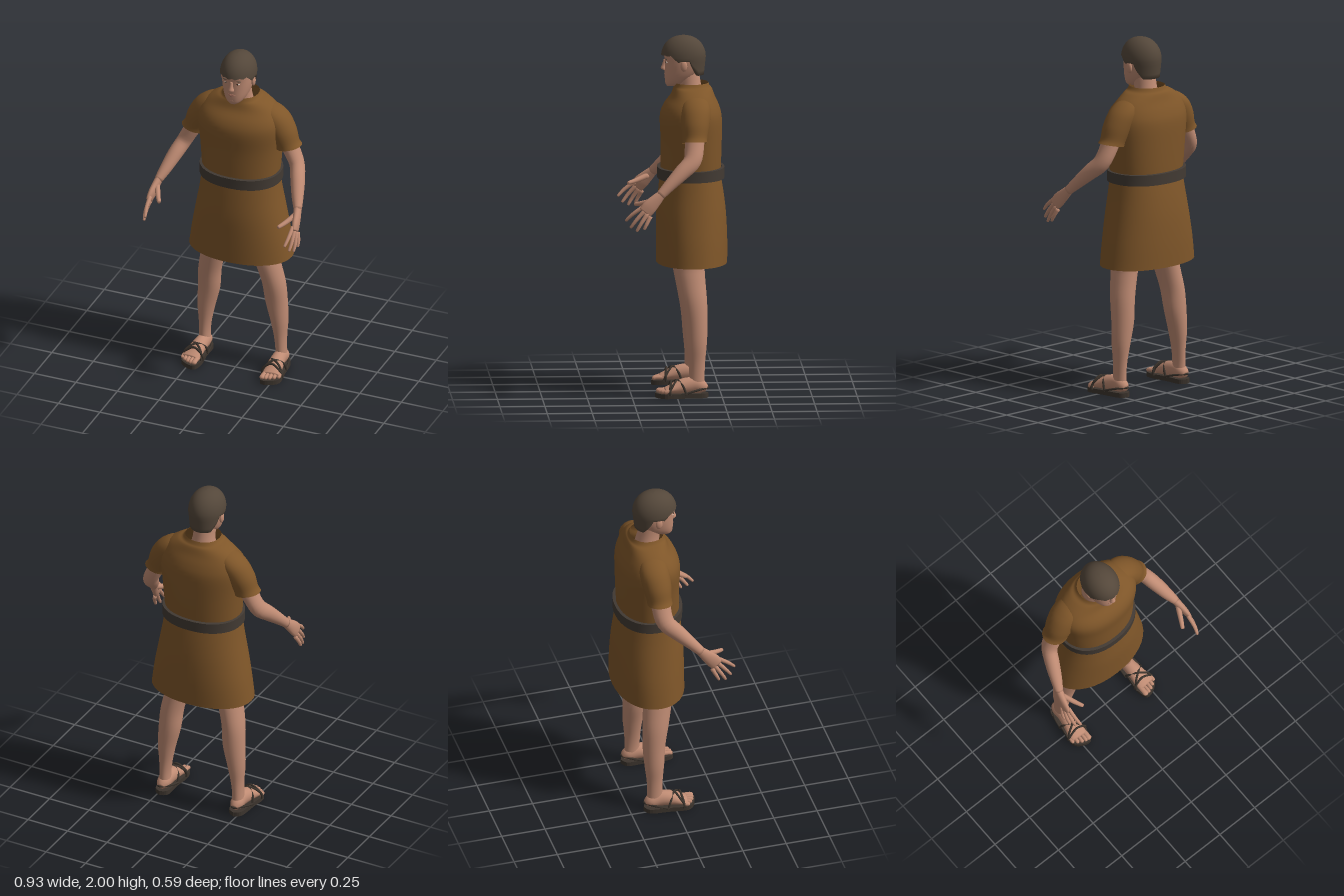
import * as THREE from 'three';

const mat = (name, color, double) => {
  const m = new THREE.MeshStandardMaterial({ color });
  m.name = name;
  if (double) m.side = THREE.DoubleSide;
  return m;
};

// Catmull-Rom subdivision of cross-sections [x, y, z, a, b]
function refine(rings, sub) {
  const out = [], at = (i) => rings[Math.min(Math.max(i, 0), rings.length - 1)];
  for (let i = 0; i < rings.length - 1; i++) {
    const [p, q, r, s] = [at(i - 1), at(i), at(i + 1), at(i + 2)];
    for (let k = 0; k < sub; k++) {
      const t = k / sub;
      out.push(q.map((v, c) => {
        const cubic = 3 * (v - r[c]) + s[c] - p[c];
        const square = 2 * p[c] - 5 * v + 4 * r[c] - s[c];
        return v + 0.5 * t * (r[c] - p[c] + t * (square + t * cubic));
      }));
    }
  }
  out.push(at(rings.length - 1));
  return out;
}

// Surface through elliptical cross-sections; a is the half width along x, b the other half width
function loft(rings, { n = 24, sub = 4, caps = true, axis = null, pow = 2 } = {}) {
  const R = refine(rings, sub), pos = [], idx = [];
  const P = R.map((r) => new THREE.Vector3(r[0], r[1], r[2]));
  const bend = (v) => Math.sign(v) * Math.abs(v) ** (2 / pow);
  R.forEach((r, i) => {
    const T = axis ? axis.clone().normalize()
      : P[Math.min(i + 1, P.length - 1)].clone().sub(P[Math.max(i - 1, 0)]).normalize();
    const U = new THREE.Vector3(1, 0, 0).addScaledVector(T, -T.x).normalize();
    const V = T.clone().cross(U);
    for (let j = 0; j < n; j++) {
      const t = (j / n) * Math.PI * 2;
      const v = P[i].clone().addScaledVector(U, bend(Math.cos(t)) * r[3]);
      v.addScaledVector(V, bend(Math.sin(t)) * r[4]);
      pos.push(v.x, v.y, v.z);
    }
  });
  for (let i = 0; i < R.length - 1; i++) for (let j = 0; j < n; j++) {
    const a = i * n + j, b = i * n + (j + 1) % n;
    idx.push(a, b, b + n, a, b + n, a + n);
  }
  if (caps) {
    const c = pos.length / 3, last = (R.length - 1) * n;
    pos.push(...P[0].toArray(), ...P[P.length - 1].toArray());
    for (let j = 0; j < n; j++) {
      const k = (j + 1) % n;
      idx.push(c, k, j, c + 1, last + j, last + k);
    }
  }
  return build(pos, idx);
}

function build(pos, idx) {
  const g = new THREE.BufferGeometry();
  g.setAttribute('position', new THREE.Float32BufferAttribute(pos, 3));
  g.setIndex(idx);
  g.computeVertexNormals();
  return g;
}

// Hair cap whose lower edge runs from the fringe, over the ears, to the nape
function hairGeometry() {
  const n = 48, dome = 9, low = 4, rows = dome + low + 2, pos = [], idx = [];
  for (let i = 0; i < rows; i++) for (let j = 0; j < n; j++) {
    const t = (j / n) * Math.PI * 2, f = Math.cos(t);
    const edge = f > 0.55 ? 1.893 + 0.004 * Math.sin(t * 15)
      : f > 0.15 ? 1.845 + (f - 0.15) * 0.11 : f > -0.3 ? 1.865 : Math.max(1.78, 1.845 + (f + 0.3) * 0.16);
    const stop = edge > 1.88 ? Math.acos((edge - 1.88) / 0.12) : Math.PI / 2;
    const phi = stop * Math.min(1, i / dome);
    const drop = Math.max(0, 1.88 - edge) * Math.min(1, Math.max(0, i - dome) / low);
    const y = 1.88 + 0.12 * Math.cos(phi) - drop;
    const r = (Math.sin(phi) ** 0.9 - 0.9 * drop) * (i === rows - 1 ? 0.85 : 1);
    pos.push(Math.sin(t) * 0.1 * r, y, -0.047 + f * 0.125 * r);
  }
  for (let i = 0; i < rows - 1; i++) for (let j = 0; j < n; j++) {
    const a = i * n + j, b = i * n + (j + 1) % n;
    idx.push(a, b + n, b, a, a + n, b + n);
  }
  return build(pos, idx);
}

export function createModel() {
  const model = new THREE.Group();
  const skin = mat('skin', 0xbf8b73), cloth = mat('brown cloth', 0x7f5629, true);
  const hair = mat('dark hair', 0x54473a, true), belt = mat('belt leather', 0x423a33, true);
  const leather = mat('sandal leather', 0x3c342d), lips = mat('lips', 0xa8705f);
  const white = mat('eye white', 0xd2c4b8), iris = mat('iris', 0x3a2a20);
  const add = (name, geo, m) => {
    const mesh = new THREE.Mesh(geo, m);
    mesh.name = name;
    model.add(mesh);
  };
  const blob = (name, m, [x, y, z], [a, b, c]) =>
    add(name, new THREE.SphereGeometry(1, 16, 10).scale(a, b, c).translate(x, y, z), m);
  const up = new THREE.Vector3(0, 1, 0);

  // Head and neck
  add('neck', loft([[0, 1.65, -0.095, 0.075, 0.07], [0, 1.73, -0.08, 0.062, 0.064], [0, 1.82, -0.06, 0.062, 0.07]], { axis: up }), skin);
  add('head', loft([
    [0, 1.716, 0.025, 0.022, 0.02], [0, 1.732, 0.005, 0.046, 0.048], [0, 1.765, -0.022, 0.067, 0.079],
    [0, 1.81, -0.04, 0.081, 0.097], [0, 1.86, -0.047, 0.088, 0.104], [0, 1.92, -0.047, 0.087, 0.109],
    [0, 1.96, -0.047, 0.068, 0.085], [0, 1.98, -0.047, 0.03, 0.04]], { n: 32, axis: up, pow: 2.25 }), skin);
  add('hair', hairGeometry(), hair);
  add('nose', loft([[0, 1.805, 0.055, 0.017, 0.01], [0, 1.815, 0.062, 0.017, 0.017],
    [0, 1.835, 0.059, 0.011, 0.013], [0, 1.865, 0.054, 0.008, 0.009]], { n: 12, axis: up }), skin);
  blob('upperLip', lips, [0, 1.782, 0.053], [0.024, 0.004, 0.007]);
  blob('lowerLip', lips, [0, 1.774, 0.051], [0.02, 0.005, 0.008]);
  blob('chin', skin, [0, 1.742, 0.04], [0.024, 0.018, 0.016]);

  // Tunic, open at the neck and hem
  add('tunicTop', loft([
    [0, 1.2, -0.085, 0.218, 0.165], [0, 1.28, -0.0875, 0.225, 0.168], [0, 1.42, -0.09, 0.237, 0.17],
    [0, 1.54, -0.088, 0.25, 0.172], [0, 1.605, -0.09, 0.24, 0.155], [0, 1.66, -0.098, 0.205, 0.123],
    [0, 1.7, -0.098, 0.15, 0.108], [0, 1.715, -0.094, 0.115, 0.1], [0, 1.735, -0.092, 0.1, 0.093]],
  { n: 40, caps: false, axis: up, pow: 2.2 }), cloth);
  add('tunicSkirt', loft([
    [0, 0.73, -0.0925, 0.303, 0.1975], [0, 0.86, -0.0925, 0.284, 0.198], [0, 1.0, -0.09, 0.258, 0.194],
    [0, 1.12, -0.088, 0.236, 0.182], [0, 1.22, -0.085, 0.222, 0.168]],
  { n: 40, caps: false, axis: up, pow: 2.15 }), cloth);
  const band = (y, d) => [0, y, -0.0875, 0.226 + d, 0.177 + d];
  add('belt', loft([band(1.205, -0.006), band(1.203, 0.01), band(1.203, 0.01), band(1.264, 0.01),
    band(1.264, 0.01), band(1.266, -0.006)], { n: 40, sub: 1, caps: false, axis: up, pow: 2.2 }), belt);

  for (const s of [1, -1]) {
    const side = s > 0 ? 'left' : 'right';
    const flip = (pts) => pts.map(([x, ...rest]) => [x * s, ...rest]);
    const limb = (name, pts, opt) => add(`${side}${name}`, loft(flip(pts), opt), skin);

    // Face details and ear
    blob(`${side}Ear`, skin, [0.091 * s, 1.838, -0.045], [0.011, 0.03, 0.019]);
    blob(`${side}Eye`, white, [0.034 * s, 1.853, 0.046], [0.013, 0.0055, 0.007]);
    blob(`${side}Iris`, iris, [0.034 * s, 1.853, 0.0505], [0.005, 0.005, 0.004]);
    blob(`${side}Eyebrow`, hair, [0.036 * s, 1.871, 0.049], [0.019, 0.0035, 0.005]);

    // Sleeve
    add(`${side}Sleeve`, loft(flip([
      [0.282, 1.438, -0.095, 0.077, 0.07], [0.268, 1.465, -0.096, 0.072, 0.07], [0.238, 1.53, -0.1, 0.083, 0.08],
      [0.2, 1.6, -0.105, 0.08, 0.083], [0.165, 1.648, -0.105, 0.06, 0.07], [0.14, 1.675, -0.105, 0.03, 0.04]]),
    { n: 28, caps: false, axis: new THREE.Vector3(-0.22 * s, 1, 0) }), cloth);

    // Arm and hand
    limb('Arm', [[0.26, 1.52, -0.095, 0.055, 0.055], [0.295, 1.43, -0.093, 0.047, 0.054], [0.338, 1.345, -0.078, 0.042, 0.05],
      [0.368, 1.285, -0.018, 0.041, 0.044], [0.396, 1.22, 0.05, 0.034, 0.034], [0.42, 1.165, 0.105, 0.023, 0.026]]);
    limb('Palm', [[0.416, 1.175, 0.095, 0.022, 0.025], [0.426, 1.14, 0.13, 0.021, 0.034],
      [0.434, 1.105, 0.165, 0.019, 0.041], [0.44, 1.075, 0.19, 0.013, 0.037]], { n: 16 });
    const fingers = [
      [[0.43, 1.105, 0.2], [0.428, 1.066, 0.256], [0.42, 1.03, 0.293]],
      [[0.437, 1.087, 0.19], [0.441, 1.033, 0.238], [0.437, 0.993, 0.268]],
      [[0.441, 1.069, 0.176], [0.451, 1.015, 0.212], [0.45, 0.975, 0.235]],
      [[0.444, 1.054, 0.16], [0.456, 1.015, 0.18], [0.458, 0.985, 0.195]],
      [[0.418, 1.145, 0.125], [0.386, 1.122, 0.19], [0.36, 1.11, 0.238]]];
    fingers.forEach(([a, b, c], i) => {
      const end = c.map((v, k) => v + (v - b[k]) * 0.1), w = i === 4 ? 0.014 : 0.0105;
      limb(i === 4 ? 'Thumb' : `Finger${i + 1}`, [[...a, w * 1.1, w * 1.2], [...b, w, w],
        [...c, w * 0.75, w * 0.75], [...end, w * 0.3, w * 0.3]], { n: 10, sub: 3 });
    });

    // Leg, foot and toes
    limb('Leg', [[0.23, 0.05, -0.11, 0.034, 0.045], [0.23, 0.12, -0.11, 0.031, 0.043], [0.226, 0.2, -0.11, 0.036, 0.046],
      [0.219, 0.3, -0.11, 0.05, 0.056], [0.203, 0.42, -0.107, 0.063, 0.064], [0.193, 0.54, -0.095, 0.065, 0.073],
      [0.17, 0.65, -0.08, 0.068, 0.08], [0.152, 0.73, -0.072, 0.072, 0.085], [0.145, 0.84, -0.075, 0.08, 0.09]], { axis: up });
    limb('Foot', [[0.232, 0.048, -0.163, 0.02, 0.018], [0.232, 0.06, -0.135, 0.036, 0.038], [0.231, 0.068, -0.085, 0.038, 0.046],
      [0.235, 0.062, -0.02, 0.044, 0.041], [0.24, 0.048, 0.035, 0.051, 0.026], [0.243, 0.041, 0.07, 0.049, 0.016]], { n: 20 });
    for (let i = 0; i < 5; i++) {
      const x = 0.205 + i * 0.021, z = 0.116 - 0.0025 * i * i, w = i ? 0.0105 : 0.015;
      limb(`Toe${i + 1}`, [[x, 0.04, 0.04, w, 0.013], [x, 0.04, z - 0.025, w, 0.012],
        [x, 0.036, z - 0.007, w, 0.011], [x, 0.034, z, w * 0.4, 0.005]], { n: 10, sub: 3 });
    }

    // Sandal sole and straps
    const outline = [[0.232, -0.175], [0.193, -0.145], [0.192, -0.05], [0.182, 0.05], [0.198, 0.115],
      [0.245, 0.115], [0.295, 0.07], [0.285, -0.03], [0.272, -0.145]];
    const curve = new THREE.SplineCurve([...outline, outline[0]].map(([x, z]) => new THREE.Vector2(x * s, -z)));
    const sole = new THREE.ExtrudeGeometry(new THREE.Shape(curve.getPoints(48)), { depth: 0.026, bevelEnabled: false });
    add(`${side}Sole`, sole.rotateX(-Math.PI / 2), leather);
    const straps = [
      [[0.3, 0.02, 0.04], [0.296, 0.045, 0.042], [0.235, 0.092, 0.035], [0.182, 0.055, 0.042], [0.178, 0.02, 0.04]],
      [[0.182, 0.02, 0.055], [0.196, 0.07, 0.03], [0.235, 0.098, 0.0], [0.278, 0.07, -0.03], [0.288, 0.02, -0.05]],
      [[0.296, 0.02, 0.055], [0.286, 0.065, 0.03], [0.235, 0.098, 0.0], [0.192, 0.07, -0.03], [0.186, 0.02, -0.05]],
      [[0.288, 0.025, -0.04], [0.276, 0.045, -0.11], [0.232, 0.055, -0.172], [0.19, 0.045, -0.11], [0.184, 0.025, -0.04]]];
    straps.forEach((pts, i) => {
      const path = new THREE.CatmullRomCurve3(flip(pts).map((p) => new THREE.Vector3(...p)));
      add(`${side}Strap${i + 1}`, new THREE.TubeGeometry(path, 24, 0.0065, 6), leather);
    });
  }
  return model;
}
